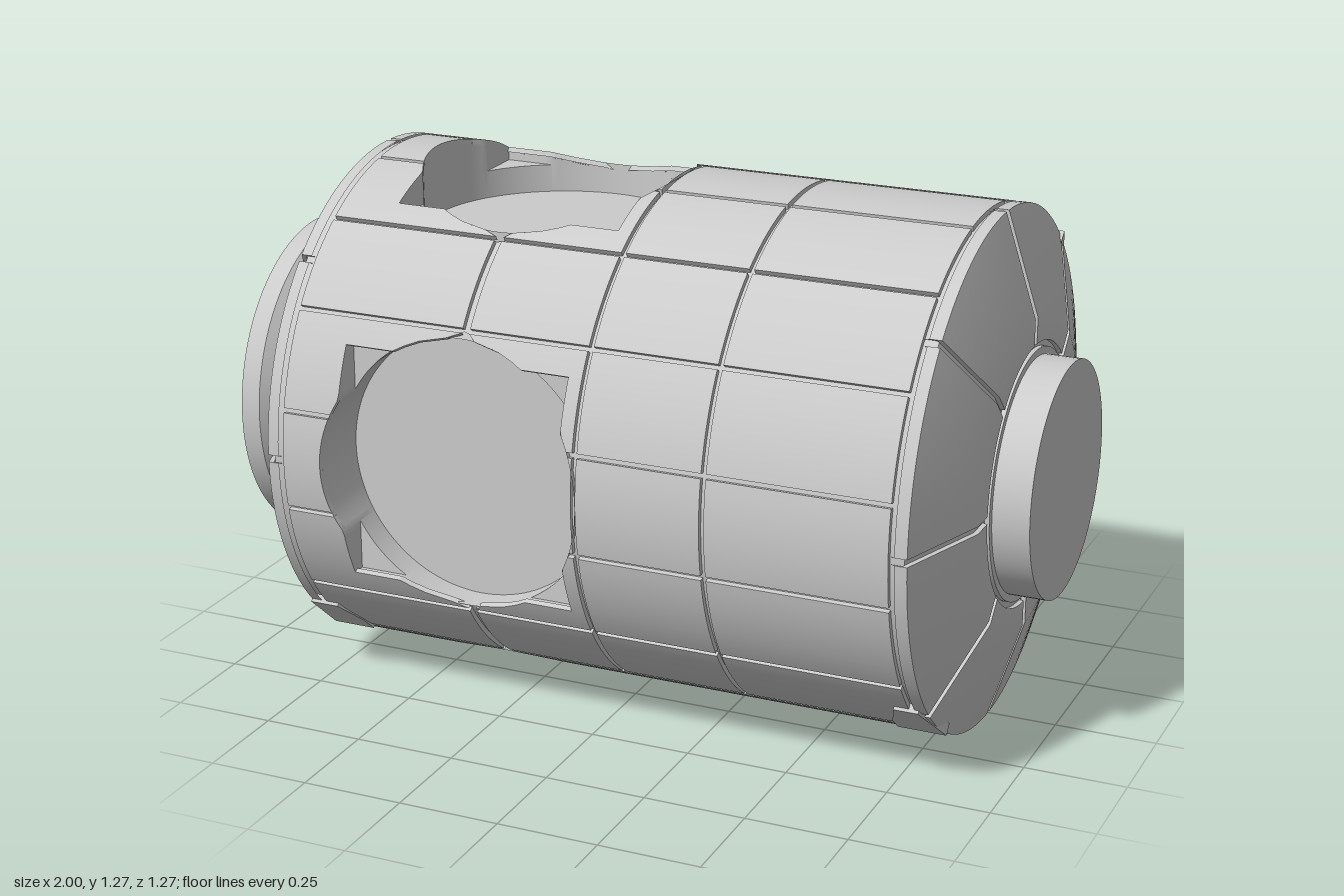
import * as THREE from 'three';
import { toCreasedNormals } from 'three/addons/utils/BufferGeometryUtils.js';

const RAD = Math.PI / 180;
const SKIN = 0.634, CORE = 0.621;            // panel and under-skin radii
const PORT_X = -0.31, PORT_R = 0.335, SQUARE = 0.29; // side port centre, bore, half of square recess
const material = new THREE.MeshStandardMaterial({ color: 0xcccccc, side: THREE.DoubleSide });

// Surface through rows of points, each row the same length
function grid(rows) {
  const n = rows[0].length, index = [];
  for (let i = 0; i < rows.length - 1; i++) {
    for (let j = 0; j < n - 1; j++) {
      const a = i * n + j, b = a + n;
      index.push(a, a + 1, b, b, a + 1, b + 1);
    }
  }
  const g = new THREE.BufferGeometry();
  g.setAttribute('position', new THREE.Float32BufferAttribute(rows.flat(2), 3));
  g.setIndex(index);
  return toCreasedNormals(g, 30 * RAD);
}

// Point on the body: along the axis, radius, angle from the top
const polar = (x, r, t) => [x, r * Math.cos(t), r * Math.sin(t)];

// Half width along x of the side port opening at an angle round the body
function openHalf(t, r) {
  const d = t - Math.round(t / (Math.PI / 2)) * Math.PI / 2;
  const lat = Math.abs(r * Math.sin(d));
  const circle = lat < PORT_R ? Math.sqrt(PORT_R ** 2 - lat ** 2) : 0;
  return Math.max(circle, lat < SQUARE ? SQUARE : 0);
}

// Even angle steps, plus the corners of the square recess
function angles(t0, t1, n, r) {
  const list = Array.from({ length: n + 1 }, (_, i) => t0 + (t1 - t0) * i / n);
  for (let q = 0; q <= 4; q++) {
    for (const s of [-1, 1]) {
      for (const e of [-1e-4, 1e-4]) {
        const t = q * Math.PI / 2 + s * Math.asin(SQUARE / r) + e;
        if (t > t0 && t < t1) list.push(t);
      }
    }
  }
  return list.sort((a, b) => a - b);
}

// Raised panel with side walls; its two ends may follow the port opening
function panel(t0, t1, from, to) {
  const list = angles(t0, t1, 14, SKIN);
  const row = (t, r) => {
    const a = from(t), b = to(t);
    return [polar(a, CORE, t), polar(a, r, t), polar(b, r, t), polar(b, CORE, t)];
  };
  return grid([row(t0, CORE), ...list.map(t => row(t, SKIN)), row(t1, CORE)]);
}

// Solid of revolution round the x axis from [x, radius] pairs
function turned(points) {
  const g = new THREE.LatheGeometry(points.map(([x, r]) => new THREE.Vector2(r, x)), 96);
  return toCreasedNormals(g.rotateZ(-Math.PI / 2), 30 * RAD);
}

export function createModel() {
  const model = new THREE.Group();
  model.name = 'stationModule';
  const body = new THREE.Group();
  body.name = 'body';
  body.position.y = 0.635;
  model.add(body);
  const add = (name, geometry, parent = body) => {
    const mesh = new THREE.Mesh(geometry, material);
    mesh.name = name;
    parent.add(mesh);
    return mesh;
  };

  // Under-skin seen in the grooves, open at the four ports
  const round = angles(0, 2 * Math.PI, 192, CORE);
  add('innerSkinLeft', grid(round.map(t => [polar(-0.77, CORE, t), polar(PORT_X - openHalf(t, CORE), CORE, t)])));
  add('innerSkinRight', grid(round.map(t => [polar(PORT_X + openHalf(t, CORE), CORE, t), polar(0.82, CORE, t)])));

  // Sixteen rows of skin panels
  const at = x => () => x;
  const gap = 0.006;
  const bays = [
    [at(-0.744), t => Math.min(PORT_X - openHalf(t, SKIN), -0.297 - gap)],
    [t => Math.min(openHalf(t, SKIN) ? PORT_X + openHalf(t, SKIN) : -0.297 + gap, 0.014), at(0.014)],
    [at(0.026), at(0.334)],
    [at(0.346), at(0.786)],
  ];
  for (let k = 0; k < 16; k++) {
    const t0 = (k * 22.5 + 11.25) * RAD + gap / SKIN;
    const t1 = (k * 22.5 + 33.75) * RAD - gap / SKIN;
    for (const [from, to] of bays) add('skinPanel', panel(t0, t1, from, to));
  }

  // Side ports: disc, bore, recess floor and recess wall up to the skin
  const portRows = [];
  for (let i = 0; i <= 144; i++) {
    const p = i * 2.5 * RAD, c = Math.cos(p), s = Math.sin(p);
    const rim = Math.max(PORT_R, SQUARE / Math.max(Math.abs(c), Math.abs(s)));
    const top = Math.sqrt(SKIN ** 2 - (rim * s) ** 2);
    portRows.push([[0, 0.46], [PORT_R, 0.46], [PORT_R, 0.53], [rim, 0.53], [rim, top]]
      .map(([r, h]) => [PORT_X + r * c, h, r * s]));
  }
  const portGeometry = grid(portRows);
  for (let q = 0; q < 4; q++) add('sidePort', portGeometry).rotation.x = q * Math.PI / 2;

  // Conical ends: a core and eight raised sectors with parallel-sided grooves
  function coneEnd(name, core, profile) {
    add(name + 'Core', turned(core));
    const inset = core[1][0] > 0 ? -0.012 : 0.012;
    for (let k = 0; k < 8; k++) {
      const rows = [];
      const row = (f, low) => {
        const pts = profile.map(([x, r]) => {
          const edge = Math.asin(0.009 / r);
          const t = k * 45 * RAD + edge + (45 * RAD - 2 * edge) * f;
          return low ? polar(x + inset, r - 0.004, t) : polar(x, r, t);
        });
        const [x, r] = profile[profile.length - 1];
        const edge = Math.asin(0.009 / r);
        pts.push(polar(x + inset, r, k * 45 * RAD + edge + (45 * RAD - 2 * edge) * f));
        return pts;
      };
      rows.push(row(0, true));
      for (let i = 0; i <= 14; i++) rows.push(row(i / 14, false));
      rows.push(row(1, true));
      add(name + 'Sector', grid(rows));
    }
  }
  coneEnd('rightCone', [[0.78, CORE], [0.82, CORE], [0.898, 0.38], [0.898, 0]],
    [[0.8, SKIN], [0.83, SKIN], [0.91, 0.385], [0.91, 0.32]]);
  coneEnd('leftCone', [[-0.74, CORE], [-0.775, CORE], [-0.853, 0.39], [-0.853, 0]],
    [[-0.757, SKIN], [-0.785, SKIN], [-0.865, 0.395], [-0.865, 0.365]]);

  // End fittings
  add('rightCollar', turned([[0.89, 0.305], [0.91, 0.305], [0.91, 0.28]]));
  add('rightPort', turned([[0.89, 0.287], [1, 0.287], [1, 0]]));
  add('leftDockingRing', turned([[-0.92, 0], [-0.92, 0.3], [-1, 0.3], [-1, 0.405],
    [-0.95, 0.405], [-0.908, 0.36], [-0.85, 0.36]]));

  // Flat trunnion plates by the rims, two at each end
  const plate = points => new THREE.ExtrudeGeometry(
    new THREE.Shape(points.map(p => new THREE.Vector2(...p))), { depth: 0.03, bevelEnabled: false });
  const rightPlate = plate([[0.72, -0.08], [0.84, -0.08], [0.81, 0.08], [0.75, 0.08], [0.72, -0.03]]);
  const leftPlate = plate([[-0.79, -0.08], [-0.68, -0.08], [-0.68, -0.01], [-0.71, 0.08], [-0.785, 0.08]]);
  for (const degrees of [50, 220]) {
    const pair = new THREE.Group();
    pair.name = 'trunnionPlates';
    pair.rotation.x = degrees * RAD;
    body.add(pair);
    add('rightPlate', rightPlate, pair).position.z = 0.607;
    add('leftPlate', leftPlate, pair).position.z = 0.607;
  }
  return model;
}
